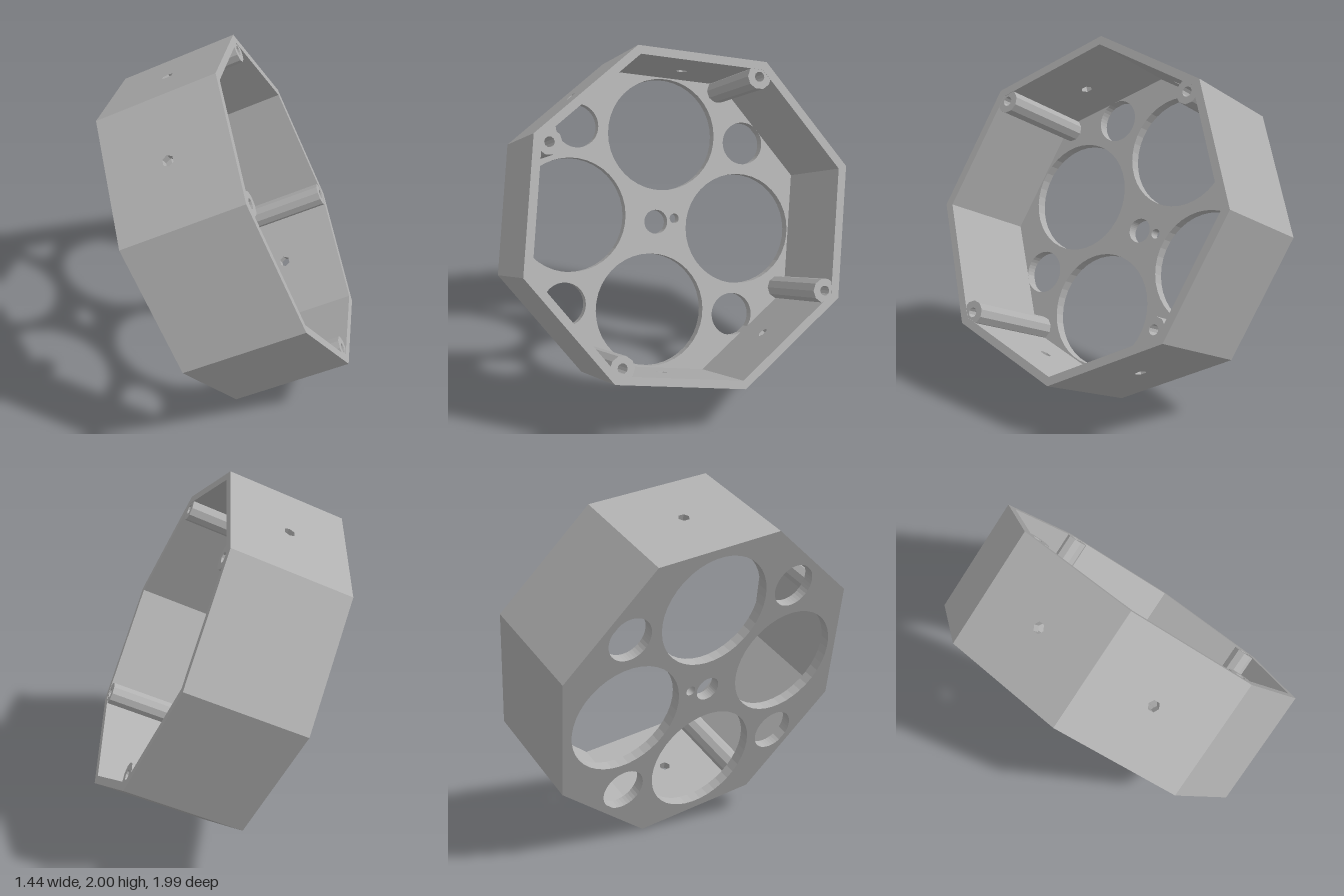
import * as THREE from 'three';

const R = 0.96;                       // outer corner radius of the octagon
const H = 0.677;                      // depth of the housing
const T = 0.045;                      // wall thickness
const FLOOR = 0.06;                   // floor thickness
const APOTHEM = R * Math.cos(Math.PI / 8);
const SIDE = 2 * R * Math.sin(Math.PI / 8);

const rad = (deg) => deg * Math.PI / 180;
const polar = (deg, r) => [r * Math.cos(rad(deg)), r * Math.sin(rad(deg))];

function addHole(shape, x, y, r) {
  const path = new THREE.Path();
  path.absarc(x, y, r, 0, Math.PI * 2, true);
  shape.holes.push(path);
}

const extrude = (shape, depth, curveSegments) =>
  new THREE.ExtrudeGeometry(shape, { depth, bevelEnabled: false, curveSegments });

export function createModel() {
  const grey = new THREE.MeshStandardMaterial({ color: 0xb0b0b0, flatShading: true });
  grey.name = 'matte grey';

  const model = new THREE.Group();
  model.name = 'octagonalHousing';
  const add = (name, geometry) => {
    const mesh = new THREE.Mesh(geometry, grey);
    mesh.name = name;
    model.add(mesh);
    return mesh;
  };

  // Floor plate with four large and four small openings
  const plate = new THREE.Shape();
  const inner = R * (APOTHEM - T) / APOTHEM;
  plate.setFromPoints(Array.from({ length: 8 }, (_, i) =>
    new THREE.Vector2(...polar(i * 45, inner))));
  for (let i = 0; i < 4; i++) {
    addHole(plate, ...polar(67.5 + i * 90, 0.51), 0.325);
    addHole(plate, ...polar(22.5 + i * 90, 0.72), 0.125);
  }
  addHole(plate, 0, 0, 0.07);
  addHole(plate, ...polar(262, 0.115), 0.028);
  add('floorPlate', extrude(plate, FLOOR, 20)).position.z = -H / 2;

  // Eight mitred wall panels, four of them with a screw hole
  for (let i = 0; i < 8; i++) {
    const panel = new THREE.Shape();
    const w = SIDE / 2, h = H / 2;
    panel.setFromPoints([[-w, -h], [w, -h], [w, h], [-w, h]].map(p => new THREE.Vector2(...p)));
    if ([0, 3, 4, 7].includes(i)) addHole(panel, 0, 0, 0.032);
    const geometry = extrude(panel, T, 3);
    // Narrow the inner face so neighbouring panels meet in a mitre
    const pos = geometry.attributes.position;
    for (let k = 0; k < pos.count; k++) {
      const depth = T - pos.getZ(k);
      if (Math.abs(pos.getX(k)) > w * 0.9) {
        pos.setX(k, pos.getX(k) * (APOTHEM - depth) / APOTHEM);
      }
    }
    geometry.computeVertexNormals();
    // Panel axes: width around the ring, height along the axis, depth outwards
    const a = rad(22.5 + i * 45);
    const out = new THREE.Vector3(Math.cos(a), Math.sin(a), 0);
    const up = new THREE.Vector3(0, 0, 1);
    const along = new THREE.Vector3().crossVectors(up, out);
    geometry.applyMatrix4(new THREE.Matrix4().makeBasis(along, up, out)
      .setPosition(out.clone().multiplyScalar(APOTHEM - T)));
    add('wallPanel', geometry);
  }

  // Hollow screw posts in every second corner
  for (let i = 0; i < 4; i++) {
    const ring = new THREE.Shape();
    ring.absarc(0, 0, 0.068, 0, Math.PI * 2, false);
    addHole(ring, 0, 0, 0.028);
    const post = add('screwPost', extrude(ring, H - FLOOR - 0.002, 5));
    post.position.set(...polar(45 + i * 90, 0.868), -H / 2 + FLOOR);
  }

  // Tilt the whole housing so that it rests on one corner
  const axis = new THREE.Vector3(0.894, 0.421, 0.155).normalize();
  const e1 = new THREE.Vector3(-0.4416, 0.894, 0.084);
  e1.addScaledVector(axis, -e1.dot(axis)).normalize();
  const e2 = new THREE.Vector3().crossVectors(axis, e1);
  model.quaternion.setFromRotationMatrix(new THREE.Matrix4().makeBasis(e1, e2, axis));
  model.position.y = 1;

  const root = new THREE.Group();
  root.name = 'housing';
  root.add(model);
  return root;
}
